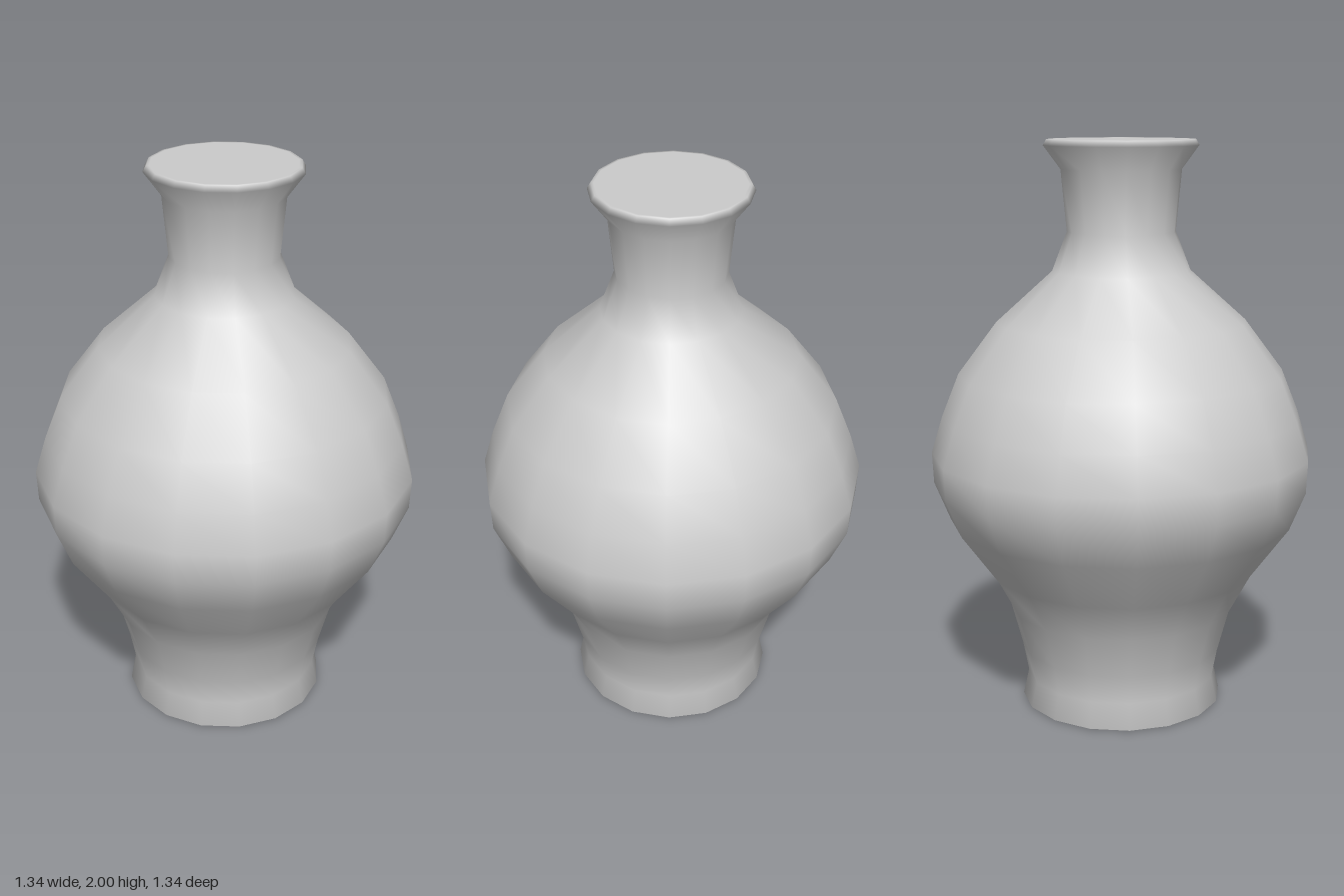
import * as THREE from 'three';

export function createModel() {
  const group = new THREE.Group();
  group.name = 'vase';

  // Outline from the base centre up to the closed mouth: [radius, height]
  const profile = [
    [0, 0], [0.33, 0], [0.36, 0.004],                             // base
    [0.34, 0.095], [0.36, 0.2], [0.4, 0.35],                      // foot
    [0.475, 0.49], [0.61, 0.675], [0.665, 0.81],                  // lower belly
    [0.67, 0.92], [0.63, 1.05], [0.57, 1.2], [0.435, 1.38],       // shoulder
    [0.24, 1.555], [0.188, 1.69], [0.208, 1.9],                   // neck
    [0.267, 1.98], [0.255, 2], [0.245, 2], [0, 2],                // lip and flat top
  ].map(([r, y]) => new THREE.Vector2(r, y));

  // Sixteen-sided smooth body
  const body = new THREE.Mesh(
    new THREE.LatheGeometry(profile, 16),
    new THREE.MeshStandardMaterial({ color: 0xcccccc }),
  );
  body.name = 'vaseBody';
  group.add(body);
  return group;
}
